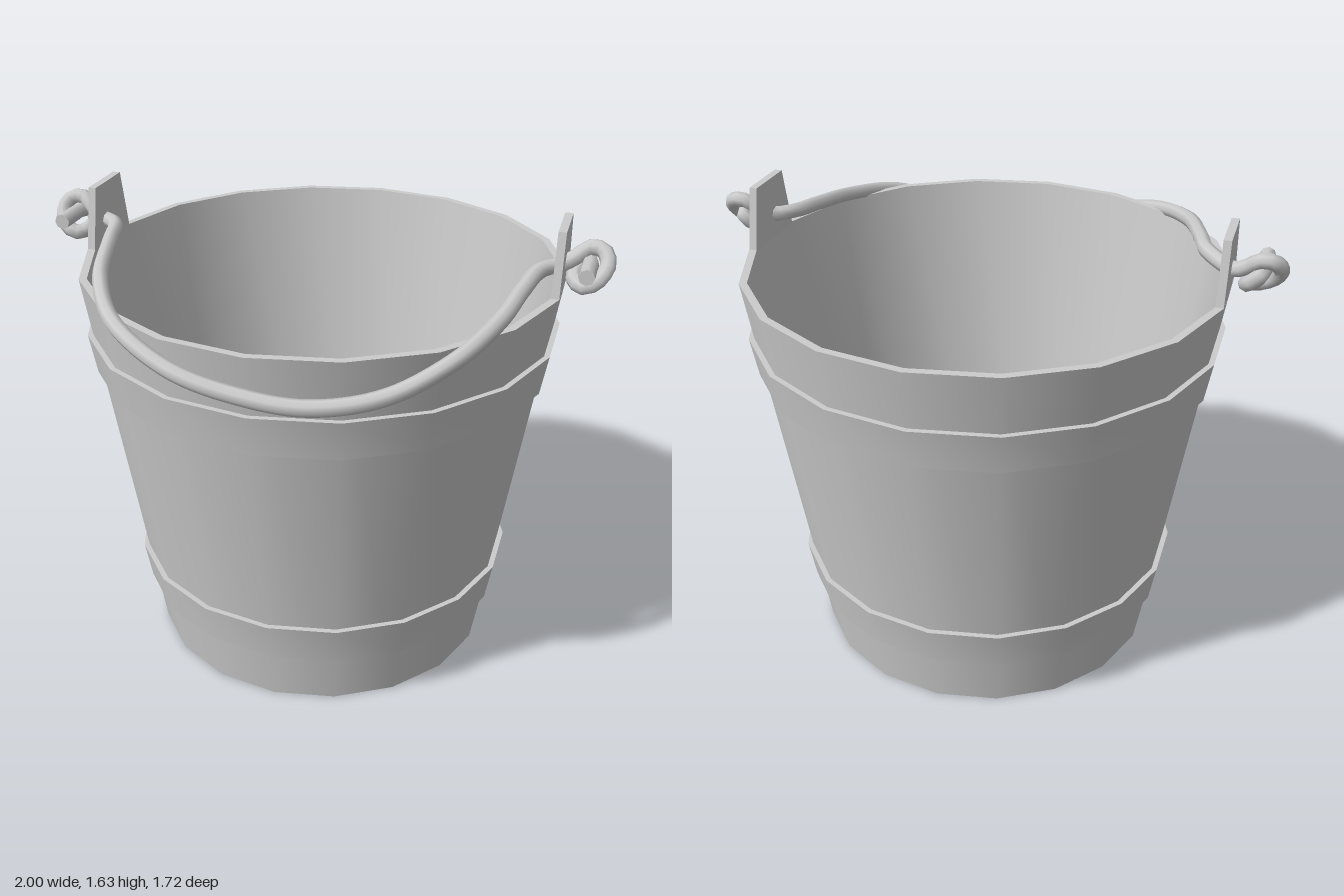
import * as THREE from 'three';
import { toCreasedNormals } from 'three/addons/utils/BufferGeometryUtils.js';

const SIDES = 18;
const HEIGHT = 1.425;
const CX = 0.01, CZ = -0.02; // bucket axis
const WIRE = 0.027;
const material = new THREE.MeshStandardMaterial({ color: 0xcccccc });

// Outer radius of the tapered wall at height y
const wallRadius = (y) => 0.623 + (0.84 - 0.623) * (y / HEIGHT);

function addMesh(parent, name, geometry) {
  const mesh = new THREE.Mesh(geometry, material);
  mesh.name = name;
  parent.add(mesh);
  return mesh;
}

// Faceted ring or shell, smooth around and sharp at its rims
function turned(points) {
  const profile = points.map(([r, y]) => new THREE.Vector2(r, y));
  return toCreasedNormals(new THREE.LatheGeometry(profile, SIDES), 0.5);
}

function hoop(y0, y1) {
  const [a, b] = [wallRadius(y0), wallRadius(y1)];
  return turned([[a - 0.01, y0], [a + 0.016, y0], [b + 0.019, y1], [b - 0.01, y1]]);
}

export function createModel() {
  const model = new THREE.Group();
  model.name = 'bucket';

  const body = new THREE.Group();
  body.name = 'body';
  body.position.set(CX, 0, CZ);
  model.add(body);

  // Closed shell: underside, outer wall, rim, inner wall, floor
  addMesh(body, 'shell', turned([
    [0, 0], [wallRadius(0), 0], [wallRadius(HEIGHT), HEIGHT],
    [wallRadius(HEIGHT) - 0.027, HEIGHT], [wallRadius(0.02) - 0.025, 0.02], [0, 0.02],
  ]));
  addMesh(body, 'lowerHoop', hoop(0.2, 0.34));
  addMesh(body, 'upperHoop', hoop(1.08, 1.22));

  // Tapered ears standing on the flat sides of the rim
  const earShape = new THREE.Shape([
    [-0.146, HEIGHT - 0.005], [0.146, HEIGHT - 0.005], [0.1, 1.635], [-0.1, 1.635],
  ].map(([x, y]) => new THREE.Vector2(x, y)));
  const earGeometry = new THREE.ExtrudeGeometry(earShape, { depth: 0.027, bevelEnabled: false });
  earGeometry.translate(0, 0, -0.0135).rotateY(Math.PI / 2);
  for (const side of [-1, 1]) {
    const ear = addMesh(body, side > 0 ? 'leftEar' : 'rightEar', earGeometry);
    ear.position.x = side * 0.8135;
  }

  // Knotted wire end, from the tail tip inward to the ear
  const knot = [
    [0.915, 1.51, 0.13], [0.915, 1.51, 0.06], [0.915, 1.508, -0.01],
    [0.9, 1.5, -0.06], [0.872, 1.475, -0.045], [0.87, 1.455, 0.015],
    [0.905, 1.445, 0.045], [0.945, 1.465, 0.04], [0.972, 1.515, 0.0],
    [0.95, 1.55, -0.03], [0.905, 1.553, -0.035], [0.87, 1.525, -0.02],
    [0.825, 1.5, 0.0],
  ];
  // Sagging bail resting over the front of the rim, left to right
  const bail = [
    [0.765, 1.495, 0.06], [0.73, 1.48, 0.2], [0.69, 1.45, 0.4],
    [0.59, 1.4, 0.63], [0.42, 1.325, 0.76], [0.21, 1.292, 0.825],
    [0, 1.305, 0.835], [-0.22, 1.345, 0.81], [-0.45, 1.415, 0.69],
    [-0.6, 1.468, 0.47], [-0.68, 1.505, 0.22], [-0.725, 1.51, 0.08],
  ];
  const otherKnot = knot.map(([x, y, z]) => [-x - 0.002, y, z - 0.02]).reverse();
  const points = [...knot, ...bail, ...otherKnot].map((p) => new THREE.Vector3(...p));
  const path = new THREE.CatmullRomCurve3(points, false, 'centripetal');

  const handle = new THREE.Group();
  handle.name = 'handle';
  model.add(handle);
  addMesh(handle, 'wire', new THREE.TubeGeometry(path, 150, WIRE, 8, false));

  // Flat caps on the two wire tips, both facing forward
  for (const [name, tip] of [['leftTip', points[0]], ['rightTip', points[points.length - 1]]]) {
    addMesh(handle, name, new THREE.CircleGeometry(WIRE, 8)).position.copy(tip);
  }
  return model;
}
